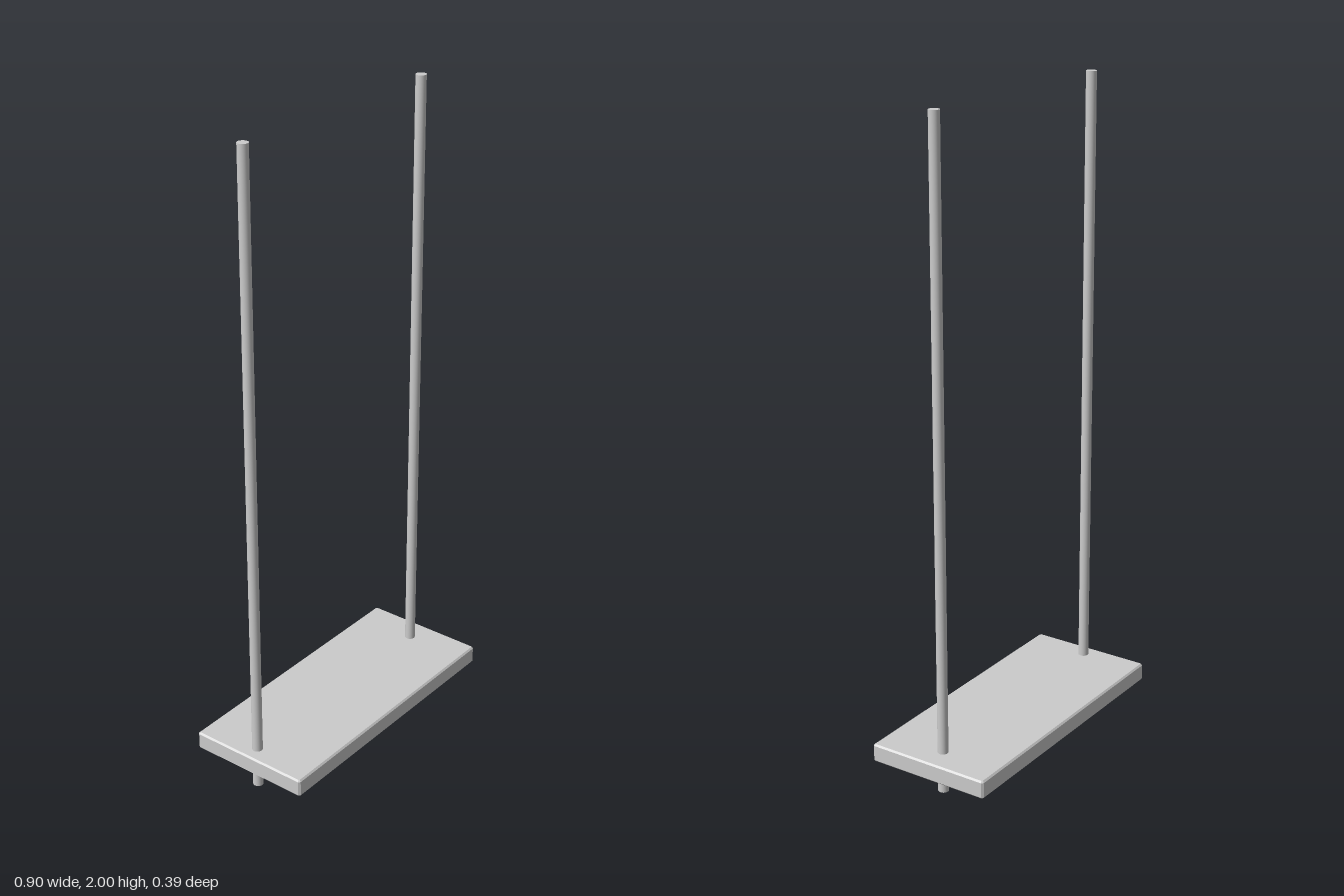
import * as THREE from 'three';

const material = new THREE.MeshStandardMaterial({ color: 0xcccccc });
const flatMaterial = new THREE.MeshStandardMaterial({ color: 0xcccccc, flatShading: true });

// Flat board with a small chamfer on every edge, centred on the origin
function chamferedBoard(width, height, depth, chamfer) {
  const x = width / 2 - chamfer, z = depth / 2 - chamfer, c = chamfer * 0.6;
  const outline = new THREE.Shape([
    [-x + c, -z], [x - c, -z], [x, -z + c], [x, z - c],
    [x - c, z], [-x + c, z], [-x, z - c], [-x, -z + c],
  ].map(([px, pz]) => new THREE.Vector2(px, pz)));
  const geometry = new THREE.ExtrudeGeometry(outline, {
    depth: height - 2 * chamfer,
    bevelEnabled: true, bevelSize: chamfer, bevelThickness: chamfer, bevelSegments: 1,
  });
  return geometry.rotateX(-Math.PI / 2).translate(0, chamfer - height / 2, 0);
}

export function createModel() {
  const model = new THREE.Group();
  model.name = 'swing';

  // Seat board
  const seat = new THREE.Mesh(chamferedBoard(0.896, 0.057, 0.394, 0.005), flatMaterial);
  seat.name = 'seat';
  seat.position.y = 0.098;
  model.add(seat);

  // Ropes passing through the seat, the left one set slightly further in
  const ropeGeometry = new THREE.CylinderGeometry(0.016, 0.016, 2, 32);
  for (const [name, x] of [['leftRope', 0.37], ['rightRope', -0.4]]) {
    const rope = new THREE.Mesh(ropeGeometry, material);
    rope.name = name;
    rope.position.set(x, 1, -0.002);
    model.add(rope);
  }

  return model;
}
